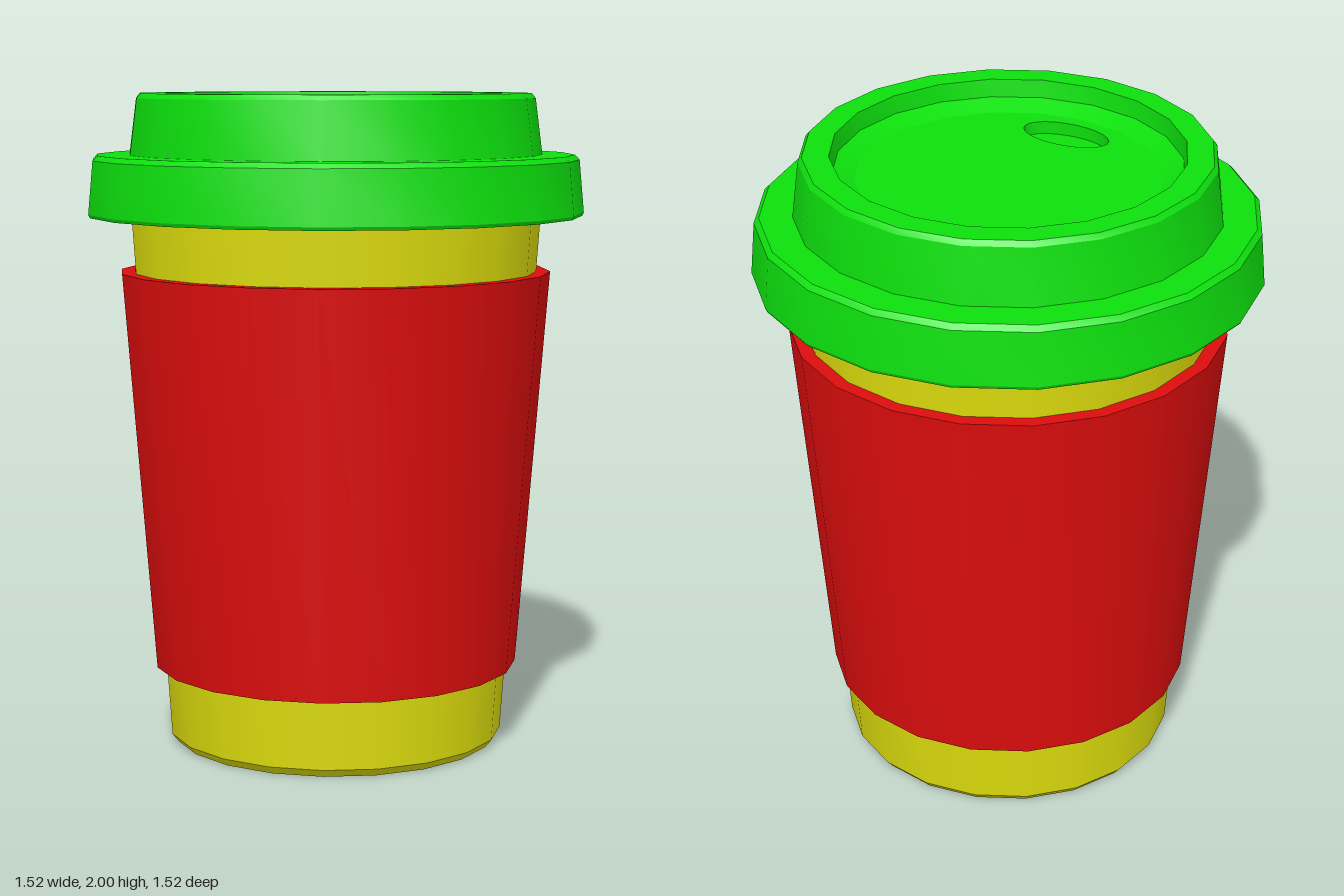
import * as THREE from 'three';
import { toCreasedNormals } from 'three/addons/utils/BufferGeometryUtils.js';

const SIDES = 20;
const CREASE = 0.5;

// Closed turned part from a [radius, height] profile, running up the outside
function turned(name, profile, material) {
  const points = profile.map(([r, y]) => new THREE.Vector2(r, y));
  const geometry = toCreasedNormals(new THREE.LatheGeometry(points, SIDES), CREASE);
  const mesh = new THREE.Mesh(geometry, material);
  mesh.name = name;
  return mesh;
}

export function createModel() {
  const group = new THREE.Group();
  group.name = 'takeawayCup';

  const yellow = new THREE.MeshStandardMaterial({ color: 0xdddd0d, side: THREE.DoubleSide });
  const red = new THREE.MeshStandardMaterial({ color: 0xdd0d0d, side: THREE.DoubleSide });
  const green = new THREE.MeshStandardMaterial({ color: 0x0de00d, side: THREE.DoubleSide });

  // Tapered cup with a bevelled foot
  group.add(turned('cup', [
    [0, 0], [0.5, 0], [0.52, 0.025], [0.635, 1.72], [0, 1.72],
  ], yellow));

  // Sleeve around the cup
  group.add(turned('sleeve', [
    [0.53, 0.24], [0.565, 0.24], [0.66, 1.46], [0.618, 1.46], [0.53, 0.24],
  ], red));

  // Lid: wide skirt, raised collar and recessed top
  group.add(turned('lid', [
    [0.64, 1.72], [0.64, 1.63], [0.755, 1.63], [0.76, 1.64],
    [0.745, 1.8], [0.73, 1.815], [0.632, 1.815],
    [0.61, 1.985], [0.598, 2], [0.52, 2], [0.513, 1.945], [0.45, 1.92],
  ], green));

  // Recessed panel pierced by the sip opening
  const panelShape = new THREE.Shape();
  for (let i = 0; i < SIDES; i++) {
    const a = (i / SIDES) * Math.PI * 2;
    const x = 0.45 * Math.cos(a), y = 0.45 * Math.sin(a);
    if (i === 0) panelShape.moveTo(x, y);
    else panelShape.lineTo(x, y);
  }
  panelShape.closePath();
  const opening = new THREE.Path();
  opening.absellipse(-0.008, -0.33, 0.14, 0.075, 0, Math.PI * 2, true);
  panelShape.holes.push(opening);
  const panelGeometry = new THREE.ExtrudeGeometry(panelShape, {
    depth: 0.04, bevelEnabled: false, curveSegments: 12,
  });
  panelGeometry.rotateX(-Math.PI / 2);
  const panel = new THREE.Mesh(toCreasedNormals(panelGeometry, 0.7), green);
  panel.name = 'lidPanel';
  panel.position.y = 1.88;
  group.add(panel);

  // Floor of the sip opening
  const floorGeometry = new THREE.CircleGeometry(0.15, 16);
  floorGeometry.scale(1, 0.57, 1);
  floorGeometry.rotateX(-Math.PI / 2);
  const floor = new THREE.Mesh(floorGeometry, green);
  floor.name = 'sipOpeningFloor';
  floor.position.set(-0.008, 1.881, 0.33);
  group.add(floor);

  return group;
}
